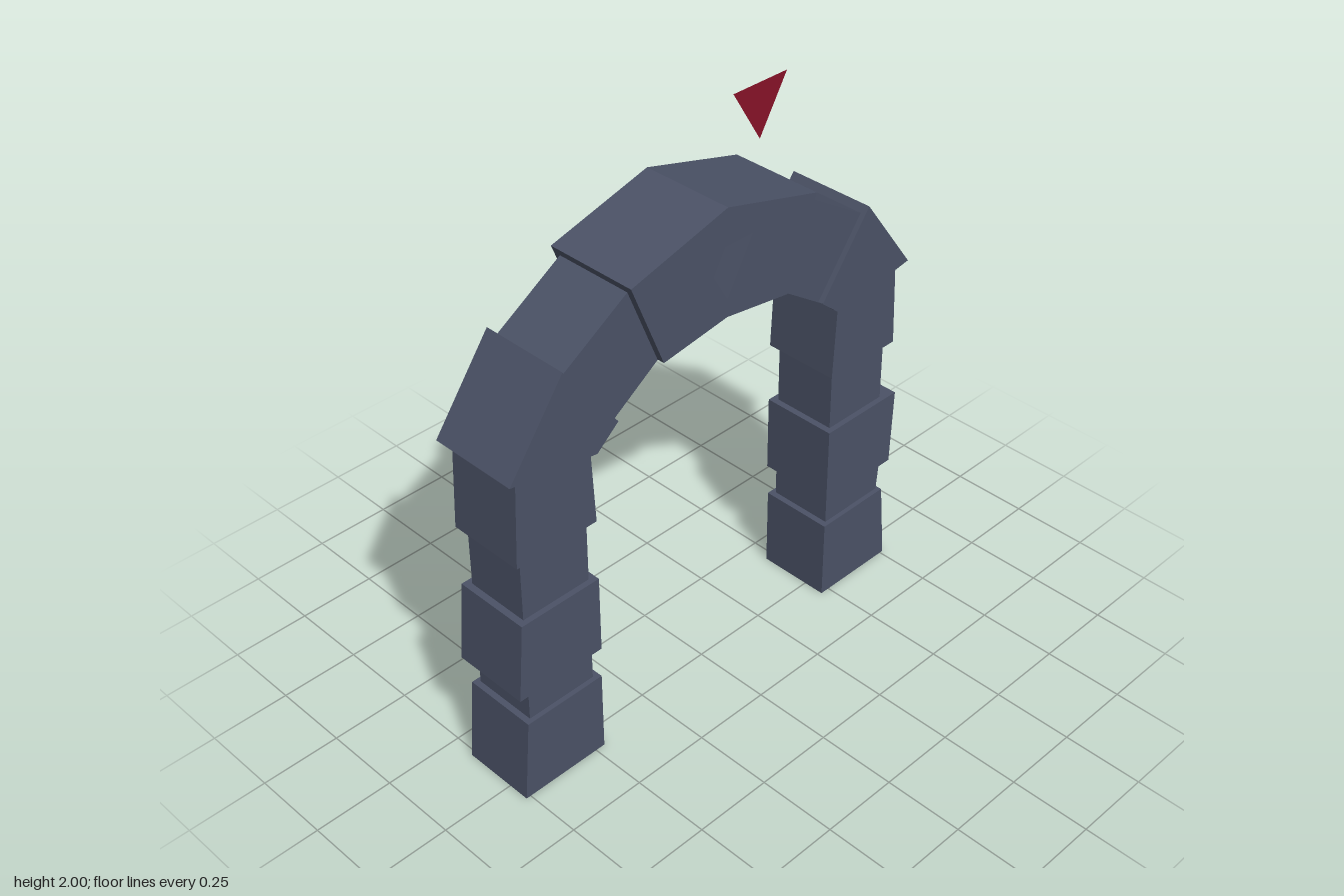
import * as THREE from 'three';

const stone = new THREE.MeshStandardMaterial({ color: 0x4b5266 });
const red = new THREE.MeshStandardMaterial({ color: 0x861228, side: THREE.DoubleSide });

const toShape = pts => new THREE.Shape(pts.map(([x, y]) => new THREE.Vector2(x, y)));
const mirror = pts => pts.map(([x, y]) => [-x, y]).reverse();

// A stone block: a front outline carried from zBack to zFront
function block(name, outline, zBack, zFront, hole) {
  const shape = toShape(outline);
  if (hole) shape.holes.push(toShape(hole));
  const geo = new THREE.ExtrudeGeometry(shape, { depth: zFront - zBack, bevelEnabled: false });
  geo.translate(0, 0, zBack);
  const mesh = new THREE.Mesh(geo, stone);
  mesh.name = name;
  return mesh;
}

// Downward-pointing triangle with its top edge at height y
const triangle = (y, h) => [[-0.095, y], [0, y - h], [0.093, y]];

export function createModel() {
  const model = new THREE.Group();
  model.name = 'stoneArch';

  // Pillar stones: y0, y1, inner x bottom/top, outer x bottom/top (left pillar, right pillar), z range
  const pillar = [
    ['footStone', 0, 0.27, 0.468, 0.468, [0.762, 0.735], [0.765, 0.741], -0.17, 0.07],
    ['lowerNeck', 0.27, 0.375, 0.488, 0.488, [0.725, 0.735], [0.722, 0.722], -0.155, 0.055],
    ['middleStone', 0.375, 0.63, 0.467, 0.467, [0.758, 0.768], [0.765, 0.743], -0.175, 0.073],
    ['upperNeck', 0.63, 0.83, 0.488, 0.488, [0.717, 0.717], [0.722, 0.722], -0.155, 0.055],
    ['topStone', 0.83, 1.1, 0.467, 0.481, [0.742, 0.73], [0.746, 0.733], -0.175, 0.073],
  ];
  // Curved part of the arch, drawn on the left side
  const haunch = [[0.47, 1.065], [0.765, 1.113], [0.575, 1.372], [0.394, 1.13]];
  const voussoir = [[0.42, 1.11], [0.56, 1.35], [0.32, 1.5], [0.225, 1.243]];

  for (const side of ['left', 'right']) {
    const flip = side === 'right';
    const place = pts => (flip ? mirror(pts) : pts);
    const group = new THREE.Group();
    group.name = side + 'Side';
    for (const [name, y0, y1, in0, in1, outL, outR, zb, zf] of pillar) {
      const [o0, o1] = flip ? outR : outL;
      group.add(block(name, place([[in0, y0], [o0, y0], [o1, y1], [in1, y1]]), zb, zf));
    }
    group.add(block('haunchStone', place(haunch), -0.198, 0.09));
    group.add(block('archStone', place(voussoir), -0.18, 0.073));
    model.add(group);
  }

  // Keystone: solid back and a front layer with a triangular socket
  const key = [[-0.235, 1.238], [0, 1.272], [0.235, 1.238], [0.343, 1.513], [0, 1.607], [-0.345, 1.513]];
  const socketBack = 0.03;
  model.add(block('keystoneBack', key, -0.203, socketBack));
  model.add(block('keystoneFront', key, socketBack, 0.097, triangle(1.492, 0.163)));

  // Flat marker floating above and in front of the arch
  const marker = new THREE.Mesh(new THREE.ShapeGeometry(toShape(triangle(2, 0.155))), red);
  marker.name = 'floatingTriangle';
  marker.position.z = 0.203;
  model.add(marker);

  return model;
}
